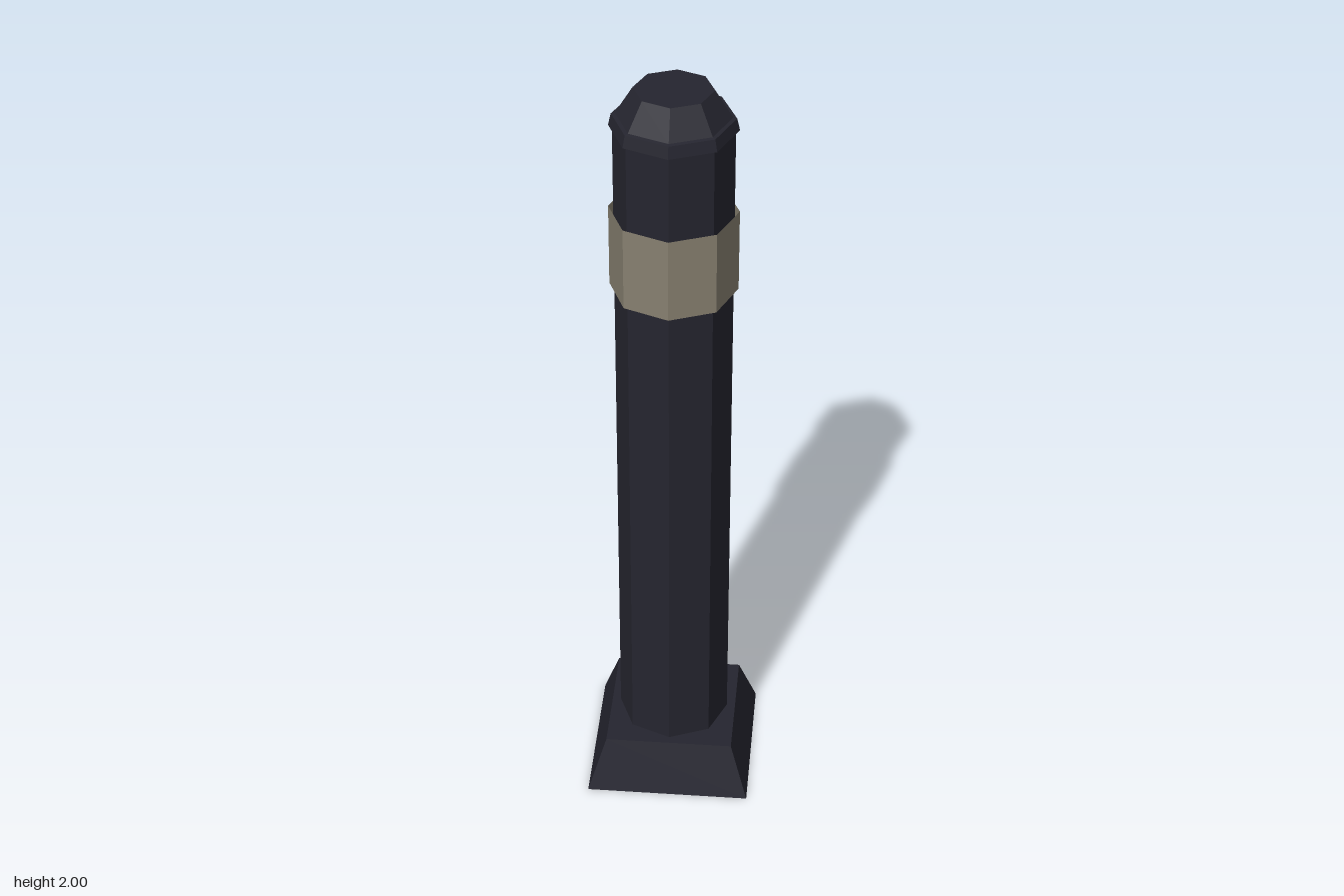
import * as THREE from 'three';

// Two flat colours; the shells are open, so both sides show
const darkMetal = new THREE.MeshStandardMaterial({ color: 0x25252f, flatShading: true, side: THREE.DoubleSide });
const tanBand = new THREE.MeshStandardMaterial({ color: 0x878070, flatShading: true, side: THREE.DoubleSide });

// Faceted part turned from [radius, height] pairs, listed from bottom to top
function turned(name, profile, sides, material) {
  const points = profile.map(([r, y]) => new THREE.Vector2(r, y));
  const mesh = new THREE.Mesh(new THREE.LatheGeometry(points, sides), material);
  mesh.name = name;
  return mesh;
}

export function createModel() {
  const group = new THREE.Group();
  group.name = 'bollard';

  // Square tapered foot, hollow underneath
  const corner = Math.SQRT2;
  const base = turned('base', [[0.212 * corner, 0], [0.166 * corner, 0.142], [0, 0.142]], 4, darkMetal);
  base.rotation.y = Math.PI / 4;

  // Octagonal post
  const post = turned('post', [[0.144, 0.142], [0.144, 1.91]], 8, darkMetal);

  // Thin sleeve around the post
  const band = turned('reflectiveBand', [[0.156, 1.47], [0.156, 1.684]], 8, tanBand);

  // Cap with an overhanging rim, a small ledge and a chamfered top
  const cap = turned('cap', [
    [0.144, 1.9], [0.153, 1.9], [0.146, 1.93], [0.137, 1.932], [0.095, 2], [0, 2],
  ], 8, darkMetal);

  group.add(base, post, band, cap);
  return group;
}
